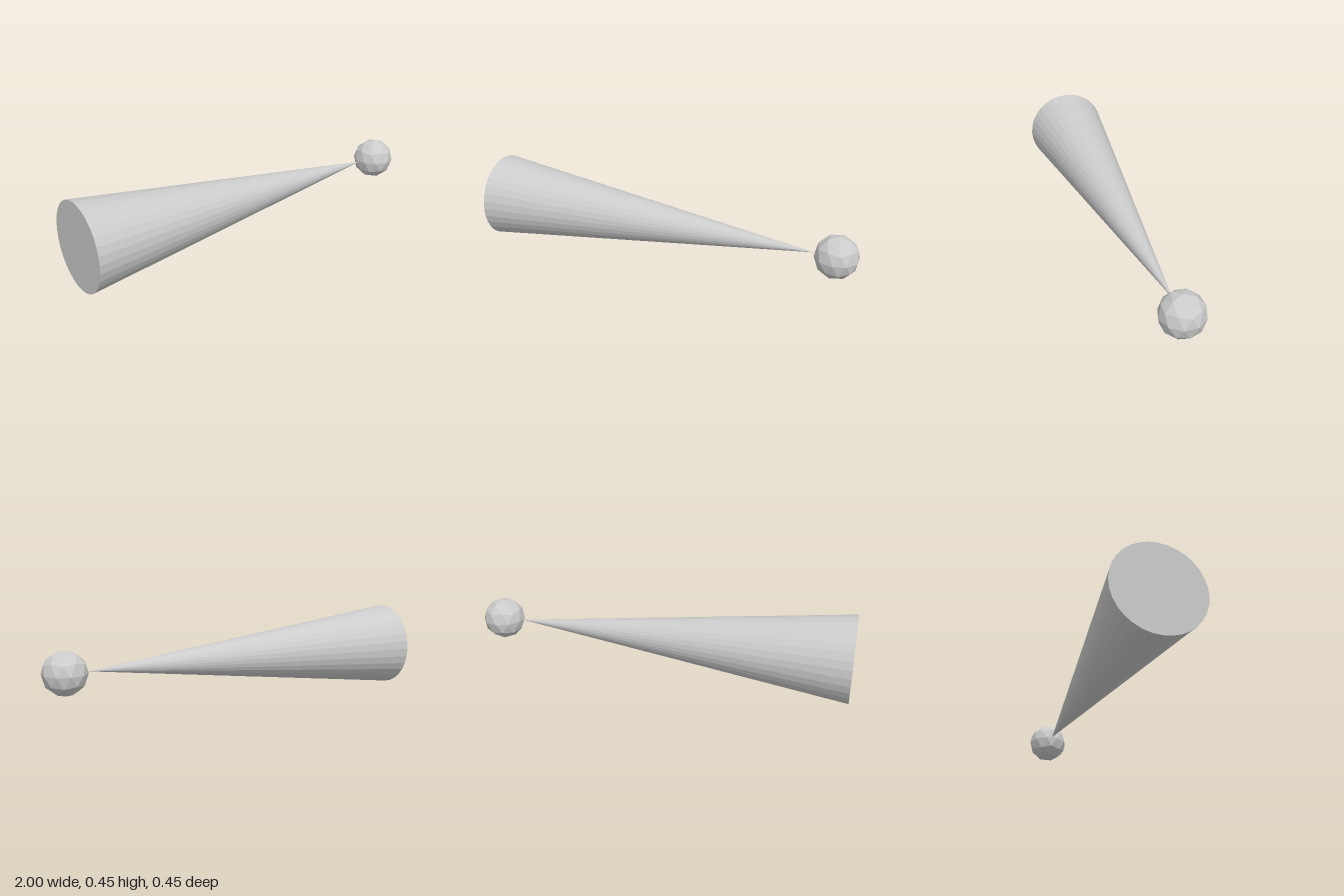
import * as THREE from 'three';

export function createModel() {
  const model = new THREE.Group();
  const material = new THREE.MeshStandardMaterial({ color: 0xcccccc, flatShading: true });
  const unit = 0.1114; // ball radius; the cone is 2 units in radius and 16 long

  const add = (name, geometry, x) => {
    const mesh = new THREE.Mesh(geometry, material);
    mesh.name = name;
    mesh.position.set(x, 2 * unit, 0);
    model.add(mesh);
  };

  // Closed cone lying on its side, tip towards +x
  const cone = new THREE.ConeGeometry(2 * unit, 16 * unit, 32);
  cone.rotateZ(-Math.PI / 2);
  add('cone', cone, -1 + 8 * unit);

  // Faceted ball just past the tip, turned so that its poles lie on y
  const ball = new THREE.IcosahedronGeometry(unit, 1);
  ball.rotateZ(-Math.atan(2 / (1 + Math.sqrt(5))));
  add('ball', ball, -1 + 17 * unit);

  return model;
}
